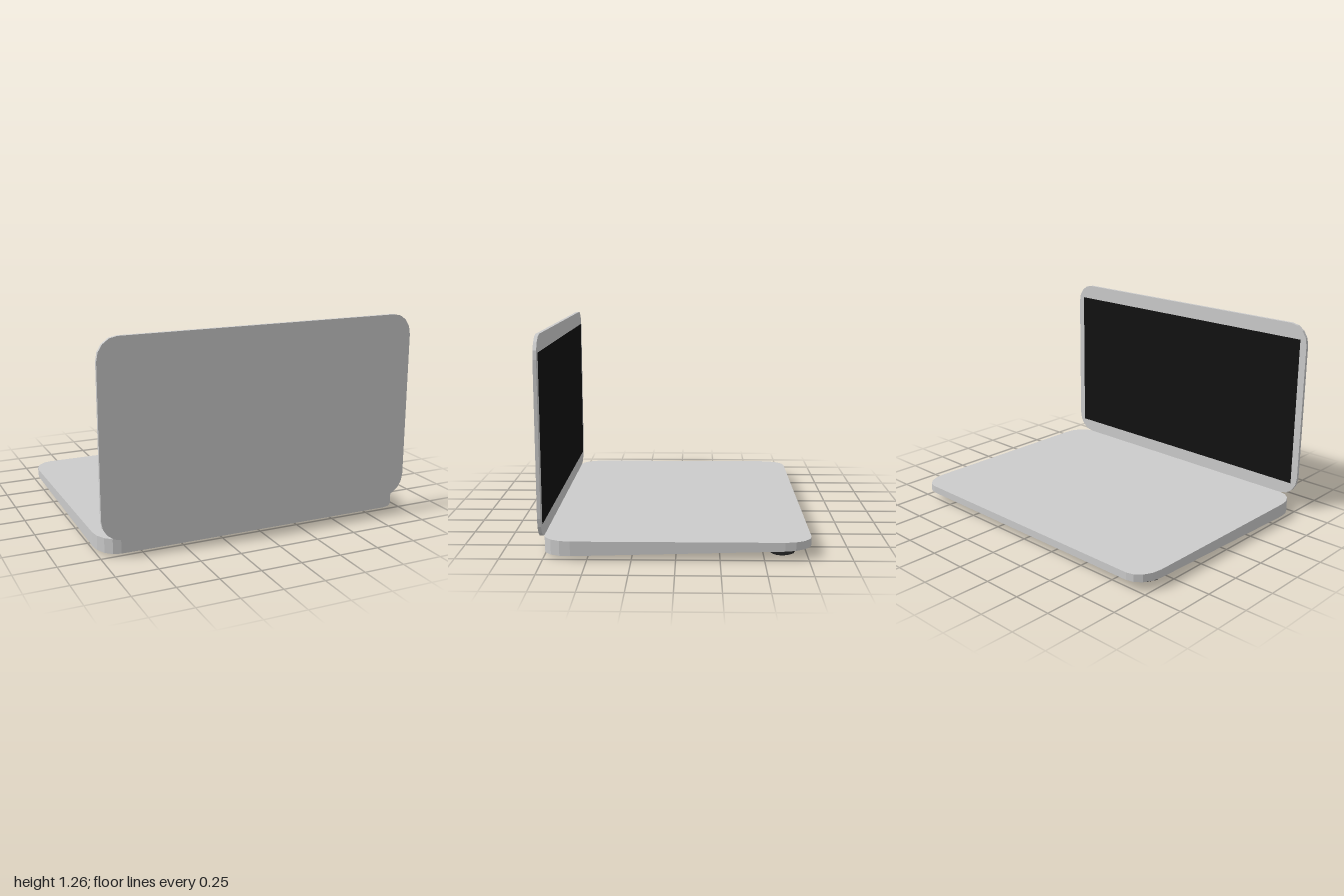
import * as THREE from 'three';

const grey = new THREE.MeshStandardMaterial({ color: 0xcccccc, flatShading: true });
const black = new THREE.MeshStandardMaterial({ color: 0x111111 });
const rubber = new THREE.MeshStandardMaterial({ color: 0x333333, flatShading: true });

// Rectangle centred on the origin with elliptical faceted corners
function roundedSlab(w, h, rx, ry, depth, steps = 4) {
  const points = [];
  const corners = [[1, 1], [-1, 1], [-1, -1], [1, -1]];
  corners.forEach(([sx, sy], c) => {
    for (let i = 0; i <= steps; i++) {
      const a = (c + i / steps) * Math.PI / 2;
      points.push(new THREE.Vector2(
        sx * (w / 2 - rx) + rx * Math.cos(a),
        sy * (h / 2 - ry) + ry * Math.sin(a)));
    }
  });
  return new THREE.ExtrudeGeometry(new THREE.Shape(points), { depth, bevelEnabled: false });
}

function addMesh(group, name, geometry, material, x, y, z) {
  const mesh = new THREE.Mesh(geometry, material);
  mesh.name = name;
  mesh.position.set(x, y, z);
  group.add(mesh);
  return mesh;
}

export function createModel() {
  const model = new THREE.Group();
  model.name = 'laptop';

  // Keyboard base: slab whose underside slopes, deeper at the hinge
  const top = 0.105, zMin = -0.775, zMax = 0.755;
  const baseGeo = roundedSlab(2, zMax - zMin, 0.12, 0.16, 1);
  baseGeo.rotateX(Math.PI / 2);
  baseGeo.translate(0, 0, (zMin + zMax) / 2);
  const p = baseGeo.attributes.position;
  for (let i = 0; i < p.count; i++) {
    const t = (p.getZ(i) - zMin) / (zMax - zMin);
    const bottom = THREE.MathUtils.lerp(0.058, 0.015, t);
    p.setY(i, p.getY(i) < -0.5 ? bottom : top);
  }
  baseGeo.computeVertexNormals();
  addMesh(model, 'base', baseGeo, grey, 0, 0, 0);

  // Upright lid behind the base
  addMesh(model, 'lid', roundedSlab(2, 1.155, 0.12, 0.13, 0.02), grey, 0, 0.6825, 0.755);

  // Display on the lid's inner side
  const display = addMesh(model, 'display', new THREE.PlaneGeometry(1.91, 0.975), black, 0, 0.677, 0.7535);
  display.rotation.y = Math.PI;

  // Four squashed rubber feet, the hinge pair sunk deeper into the base
  const footGeo = new THREE.SphereGeometry(0.097, 8, 6);
  footGeo.scale(1, 0.6, 1);
  for (const x of [-0.88, 0.88]) {
    addMesh(model, 'outerFoot', footGeo, rubber, x, 0.0582, -0.605);
    // flattened further so its crown stays inside the base
    addMesh(model, 'hingeFoot', footGeo, rubber, x, 0.05, 0.63).scale.set(0.85, 0.86, 0.85);
  }
  // Keep the outer feet's crowns below the top surface
  model.children.filter(m => m.name === 'outerFoot').forEach(m => {
    m.scale.y = 0.78;
    m.position.y = 0.0582 * 0.78;
  });

  return model;
}
